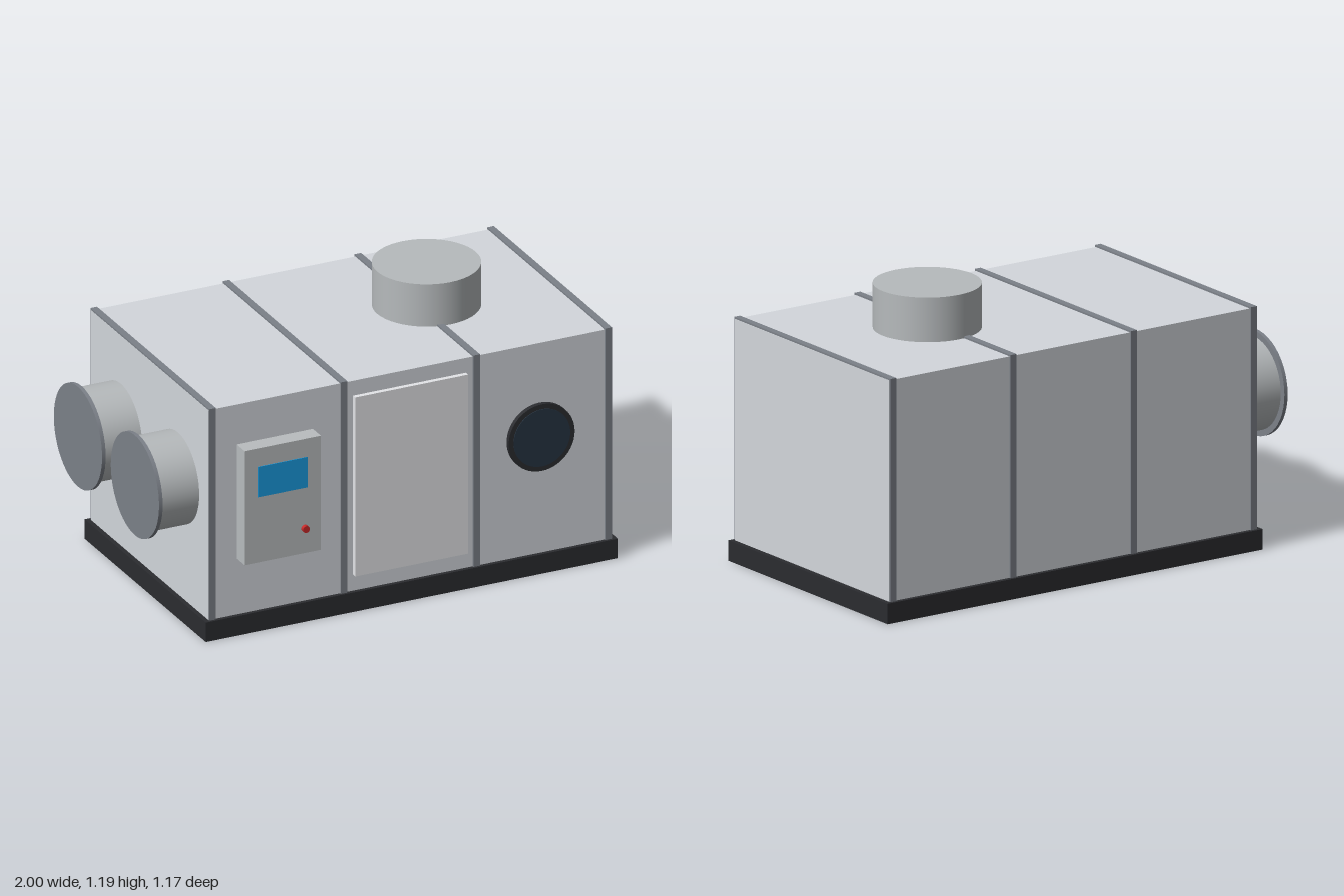
import * as THREE from 'three';

const mat = (color) => new THREE.MeshStandardMaterial({ color });
const shell = mat(0xd3d7dc), rib = mat(0x7c8189), dark = mat(0x2b2c30), duct = mat(0xb6babc);
const door = mat(0xe4e5e8), cabinet = mat(0xb9bdbf), blue = mat(0x1a9ade);
const red = mat(0xc62828), glass = mat(0x263442);

export function createModel() {
  const model = new THREE.Group();

  const add = (name, geometry, material, x, y, z) => {
    const mesh = new THREE.Mesh(geometry, material);
    mesh.name = name;
    mesh.position.set(x, y, z);
    model.add(mesh);
    return mesh;
  };
  // Box given by its lower and upper limits on each axis
  const box = (name, material, [x0, x1], [y0, y1], [z0, z1]) =>
    add(name, new THREE.BoxGeometry(x1 - x0, y1 - y0, z1 - z0), material,
      (x0 + x1) / 2, (y0 + y1) / 2, (z0 + z1) / 2);
  // Cylinder along an axis, from a to b on that axis
  const tube = (name, material, axis, r, a, b, u, v) => {
    const g = new THREE.CylinderGeometry(r, r, b - a, 48);
    const m = (a + b) / 2;
    if (axis === 'x') return add(name, g.rotateZ(Math.PI / 2), material, m, u, v);
    if (axis === 'z') return add(name, g.rotateX(Math.PI / 2), material, u, v, m);
    return add(name, g, material, u, m, v);
  };

  // Plinth and casing
  box('base', dark, [-0.83, 1], [0, 0.085], [-0.585, 0.515]);
  box('casing', shell, [-0.81, 0.979], [0.085, 1.005], [-0.566, 0.498]);

  // Frame bands wrapping the casing at the section joints
  [-0.795, -0.21, 0.377, 0.964].forEach((x, i) =>
    box('frameBand' + (i + 1), rib, [x - 0.0145, x + 0.0145], [0.085, 1.012], [-0.573, 0.505]));

  // Pair of flanged ducts on the right end
  [-0.297, 0.22].forEach((z, i) => {
    tube('sideDuct' + (i + 1), duct, 'x', 0.194, -0.985, -0.8, 0.6, z);
    tube('sideFlange' + (i + 1), rib, 'x', 0.219, -1, -0.984, 0.6, z);
  });

  // Roof outlet
  tube('roofDuct', duct, 'y', 0.218, 1, 1.19, 0.418, -0.035);

  // Access door
  box('accessDoor', door, [-0.167, 0.333], [0.155, 0.94], [0.49, 0.518]);

  // Control cabinet with screen and button
  box('controlCabinet', cabinet, [-0.685, -0.345], [0.33, 0.83], [0.49, 0.571]);
  box('screen', blue, [-0.625, -0.405], [0.617, 0.75], [0.565, 0.574]);
  tube('button', red, 'z', 0.015, 0.565, 0.588, -0.417, 0.44);

  // Round inspection window
  tube('windowRim', dark, 'z', 0.146, 0.49, 0.518, 0.658, 0.598);
  tube('windowGlass', glass, 'z', 0.125, 0.5, 0.521, 0.658, 0.598);

  return model;
}
